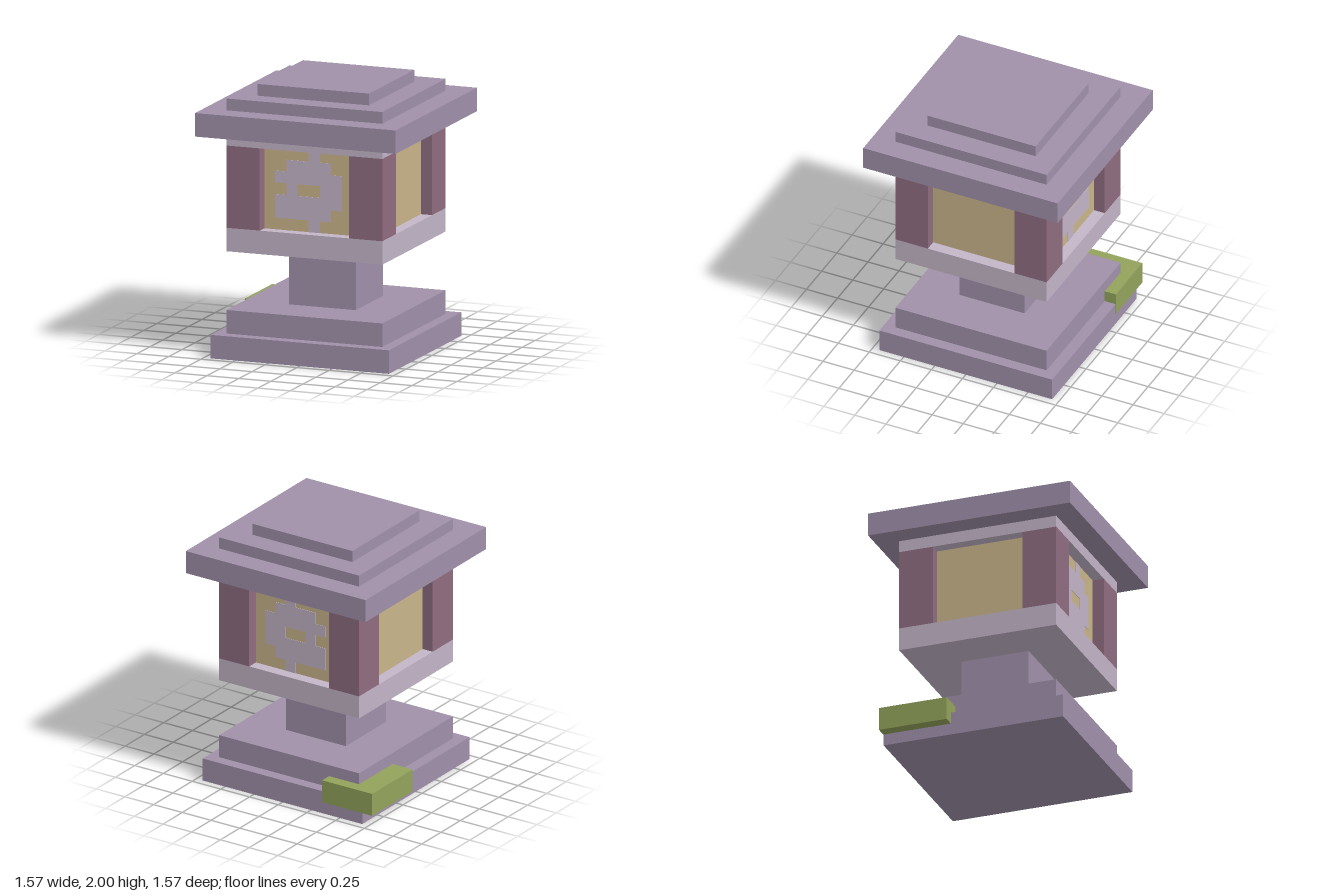
import * as THREE from 'three';

const U = 2 / 23; // one block unit

const mat = (name, color) => {
  const m = new THREE.MeshStandardMaterial({ color });
  m.name = name;
  return m;
};

export function createModel() {
  const group = new THREE.Group();
  const stone = mat('lilac stone', 0xa090aa);
  const pale = mat('pale lilac', 0xc3b5c7);
  const wood = mat('mauve wood', 0x8f6c80);
  const glow = mat('warm paper', 0xc9b48a);
  const moss = mat('moss green', 0x92a35b);

  // Box from minimum and maximum corners, in block units
  const box = (name, material, [x0, y0, z0], [x1, y1, z1], parent = group) => {
    const geo = new THREE.BoxGeometry((x1 - x0) * U, (y1 - y0) * U, (z1 - z0) * U);
    const mesh = new THREE.Mesh(geo, material);
    mesh.position.set((x0 + x1) / 2 * U, (y0 + y1) / 2 * U, (z0 + z1) / 2 * U);
    mesh.name = name;
    parent.add(mesh);
  };

  // Centred square slabs: name, material, half width, bottom, top
  const slabs = [
    ['baseLower', stone, 8, 0, 2],
    ['baseUpper', stone, 7, 2, 4],
    ['column', stone, 3, 4, 9],
    ['lanternFloor', pale, 7, 9, 11],
    ['lanternPanels', glow, 6, 11, 18],
    ['lanternCeiling', pale, 7, 18, 19],
    ['roofEaves', stone, 9, 19, 21],
    ['roofMiddle', stone, 7, 21, 22],
    ['roofCap', stone, 5, 22, 23],
  ];
  for (const [name, m, h, y0, y1] of slabs) box(name, m, [-h, y0, -h], [h, y1, h]);

  // Corner posts
  for (const x of [-7, 4])
    for (const z of [-7, 4]) box('cornerPost', wood, [x, 11, z], [x + 3, 18, z + 3]);

  // Blocky emblem on the front and back panels
  const rows = [
    '....#...',
    '..####..',
    '.######.',
    '..#..##.',
    '.######.',
    '.#####..',
    '....#...',
  ];
  for (const side of [1, -1]) {
    const emblem = new THREE.Group();
    emblem.name = side > 0 ? 'frontEmblem' : 'backEmblem';
    rows.forEach((row, r) => {
      // one thin plate per run of filled cells
      for (const run of row.matchAll(/#+/g)) {
        const a = run.index - 4, b = a + run[0].length;
        const z = [6 * side, 6.04 * side].sort((p, q) => p - q);
        box('emblemStrip', pale, [a, 17 - r, z[0]], [b, 18 - r, z[1]], emblem);
      }
    });
    group.add(emblem);
  }

  // Moss wrapped round the back right corner of the base
  box('mossSide', moss, [-9, 1, -8.03], [-7, 3, -2]);
  box('mossBack', moss, [-7, 1, -8.03], [-4, 3, -7]);

  return group;
}
